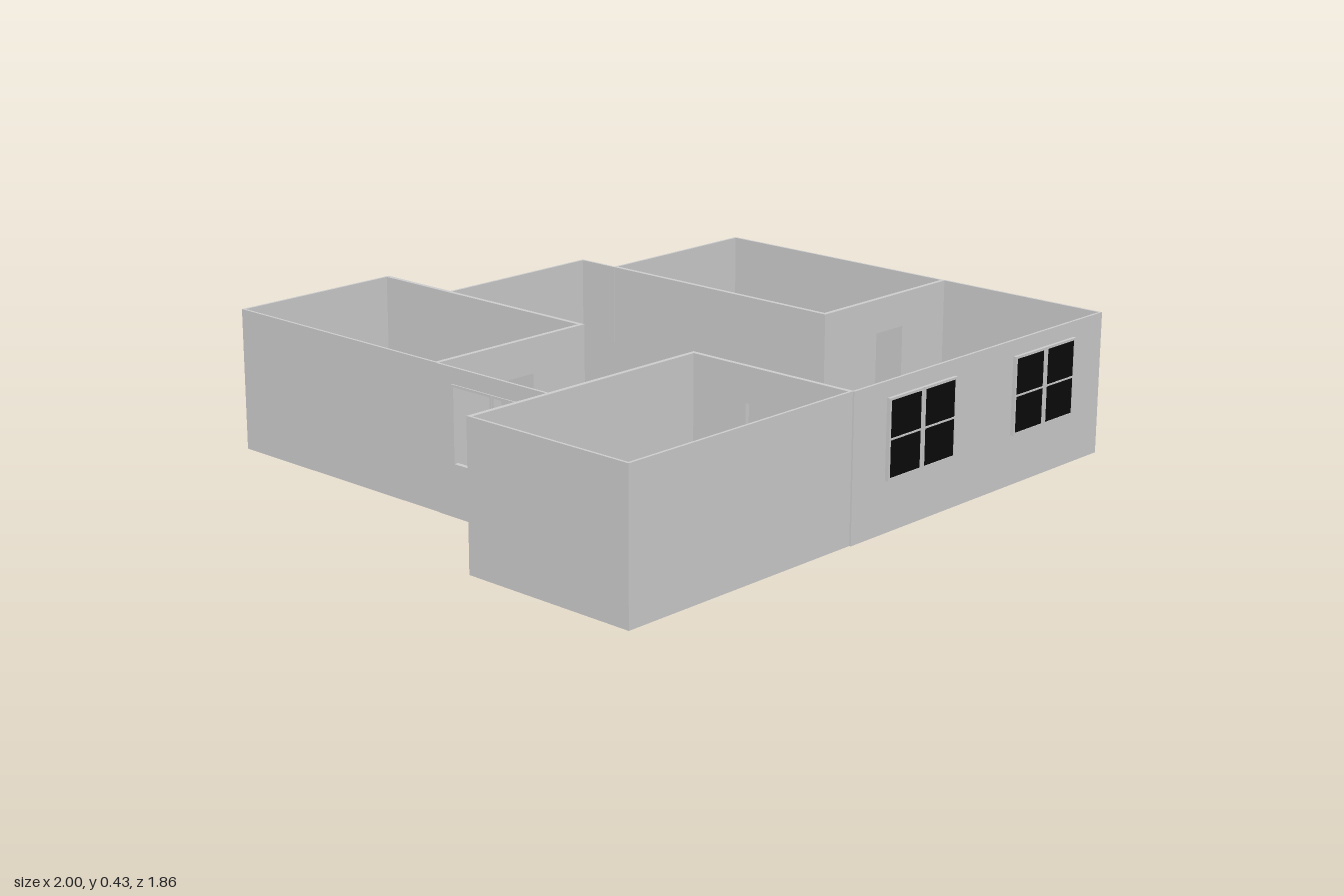
import * as THREE from 'three';

const HEIGHT = 0.43;
const OUTER = 0.008; // outer wall thickness
const INNER = 0.014; // partition thickness
const DOOR_TOP = 0.325;
const SILL = 0.15, HEAD = 0.383;

const grey = new THREE.MeshStandardMaterial({ color: 0xcccccc });
const black = new THREE.MeshStandardMaterial({ color: 0x0a0a0a });

// Straight wall along 'x' or 'z' from a to b; low is its smaller cross coordinate
function wall(name, axis, a, b, low, thick, { doors = [], windows = [] } = {}) {
  const s = new THREE.Shape();
  s.moveTo(a, 0);
  for (const [p, q] of doors) {
    s.lineTo(p, 0);
    s.lineTo(p, DOOR_TOP);
    s.lineTo(q, DOOR_TOP);
    s.lineTo(q, 0);
  }
  s.lineTo(b, 0);
  s.lineTo(b, HEIGHT);
  s.lineTo(a, HEIGHT);
  for (const [p, q] of windows) {
    const hole = new THREE.Path();
    hole.moveTo(p, SILL);
    hole.lineTo(p, HEAD);
    hole.lineTo(q, HEAD);
    hole.lineTo(q, SILL);
    s.holes.push(hole);
  }
  const g = new THREE.ExtrudeGeometry(s, { depth: thick, bevelEnabled: false });
  if (axis === 'x') {
    g.translate(0, 0, low);
  } else {
    // turn the run of the wall from x onto +z
    g.rotateY(-Math.PI / 2);
    g.translate(low + thick, 0, 0);
  }
  const m = new THREE.Mesh(g, grey);
  m.name = name;
  return m;
}

function bar(name, w, h, d, x, y, z, material = grey) {
  const m = new THREE.Mesh(new THREE.BoxGeometry(w, h, d), material);
  m.position.set(x, y, z);
  m.name = name;
  return m;
}

// Two-sash window facing +z, centred on the origin
function makeWindow(name, width, depth, glazed) {
  const win = new THREE.Group();
  win.name = name;
  const h = HEAD - SILL, f = 0.007, sash = width / 2 - 0.003;
  for (const side of [-1, 1]) {
    const cx = side * width / 4;
    for (const e of [-1, 1]) {
      win.add(bar('sashStile', f, h, depth, cx + e * (sash - f) / 2, 0, 0));
      win.add(bar('sashRail', sash, f, depth, cx, e * (h - f) / 2, 0));
    }
    if (glazed) {
      win.add(bar('pane', sash - f, h - f, depth * 0.8, cx, 0, 0, black));
      win.add(bar('glazingBar', sash, 0.005, depth, cx, 0, 0));
    }
  }
  win.add(bar('mullion', 0.008, h, depth * 0.8, 0, 0, 0));
  return win;
}

export function createModel() {
  const house = new THREE.Group();
  house.name = 'floorPlanHouse';

  // Floor slab over the whole footprint, as x, z corners
  const outline = [
    [-1, 0.915], [-0.15, 0.915], [-0.15, 0.92], [0.995, 0.92], [0.995, -0.51], [0.42, -0.51],
    [0.42, -0.65], [-0.147, -0.65], [-0.147, -0.932], [-0.715, -0.932], [-0.715, 0.35], [-1, 0.35],
  ];
  const slab = new THREE.Shape(outline.map(([x, z]) => new THREE.Vector2(x, -z)));
  const slabGeo = new THREE.ExtrudeGeometry(slab, { depth: 0.005, bevelEnabled: false });
  slabGeo.rotateX(-Math.PI / 2);
  const floor = new THREE.Mesh(slabGeo, grey);
  floor.name = 'floor';
  house.add(floor);

  const frontWindows = [[-0.01, 0.29], [0.56, 0.856]];
  const sideWindow = [-0.02, 0.3];

  house.add(
    // Back left room
    wall('backRoomLeftWall', 'z', -0.932, -0.08, -0.715, OUTER),
    wall('backRoomBackWall', 'x', -0.715, -0.145, -0.932, OUTER),
    wall('backRoomHallWall', 'z', -0.932, -0.08, -0.159, INNER),
    wall('backRoomDoorWall', 'x', -0.715, -0.145, -0.094, INNER, { doors: [[-0.478, -0.352]] }),
    // Front left room
    wall('frontRoomLeftWall', 'z', 0.35, 0.915, -1, OUTER),
    wall('frontRoomFrontWall', 'x', -1, -0.145, 0.907, OUTER),
    wall('frontRoomBackWall', 'x', -1, -0.145, 0.344, INNER),
    wall('frontRoomDoorWall', 'z', 0.344, 0.915, -0.159, INNER, { doors: [[0.55, 0.7]] }),
    // Right room
    wall('sideRoomOuterWall', 'z', -0.51, 0.35, 0.987, OUTER),
    wall('sideRoomBackWall', 'x', 0.417, 0.995, -0.51, OUTER),
    wall('sideRoomHallWall', 'z', -0.51, 0.35, 0.417, INNER),
    wall('sideRoomDoorWall', 'x', 0.417, 0.995, 0.337, INNER, { doors: [[0.66, 0.785]] }),
    // Hall
    wall('hallBackWall', 'x', -0.15, 0.424, -0.65, OUTER),
    wall('hallBackSideWall', 'z', -0.65, -0.505, 0.416, OUTER),
    wall('hallLeftWall', 'z', -0.082, 0.35, -0.717, OUTER, { windows: [sideWindow] }),
    wall('hallRightWall', 'z', 0.345, 0.92, 0.989, OUTER),
    wall('hallFrontWall', 'x', -0.15, 0.997, 0.912, OUTER, { windows: frontWindows }),
  );

  // Windows
  const midY = (SILL + HEAD) / 2;
  for (const [a, b] of frontWindows) {
    const w = makeWindow('frontWindow', b - a, 0.026, true);
    w.position.set((a + b) / 2, midY, 0.917);
    house.add(w);
  }
  const side = makeWindow('sideWindow', sideWindow[1] - sideWindow[0], 0.014, false);
  side.rotation.y = -Math.PI / 2;
  side.position.set(-0.714, midY, (sideWindow[0] + sideWindow[1]) / 2);
  house.add(side);

  return house;
}
